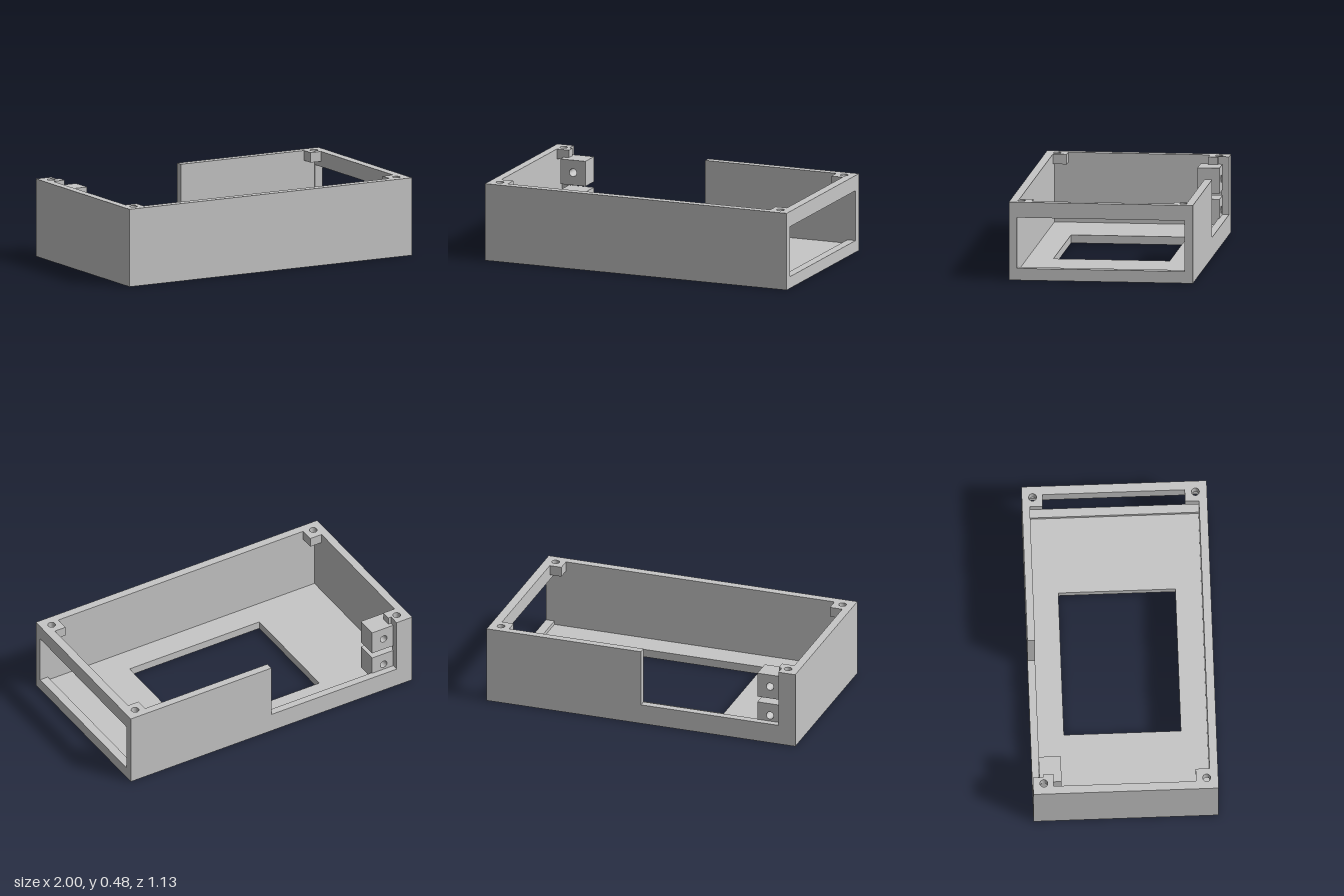
import * as THREE from 'three';

export function createModel() {
  const group = new THREE.Group();
  group.name = 'electronicsEnclosure';
  const grey = new THREE.MeshStandardMaterial({ color: 0xc6c6c6 });
  grey.name = 'light grey plastic';

  const add = (name, geometry) => {
    const mesh = new THREE.Mesh(geometry, grey);
    mesh.name = name;
    group.add(mesh);
    return mesh;
  };

  // Box given by its minimum and maximum corners
  const box = (name, x0, x1, y0, y1, z0, z1) => {
    const g = new THREE.BoxGeometry(x1 - x0, y1 - y0, z1 - z0);
    g.translate((x0 + x1) / 2, (y0 + y1) / 2, (z0 + z1) / 2);
    return add(name, g);
  };

  const rect = (x0, x1, y0, y1) => [[x0, y0], [x1, y0], [x1, y1], [x0, y1]];
  const toVectors = (pts) => pts.map(([x, y]) => new THREE.Vector2(x, y));
  const circle = (x, y, r) => new THREE.Path().absarc(x, y, r, 0, Math.PI * 2, true);
  const extrude = (shape, depth) =>
    new THREE.ExtrudeGeometry(shape, { depth, bevelEnabled: false, curveSegments: 16 });

  // Horizontal plate: outline in (x, -z), raised from y0 to y1
  const slab = (name, pts, holes, y0, y1) => {
    const shape = new THREE.Shape(toVectors(pts));
    shape.holes.push(...holes);
    const g = extrude(shape, y1 - y0);
    g.rotateX(-Math.PI / 2);
    g.translate(0, y0, 0);
    return add(name, g);
  };

  const H = 0.482, D = 0.566, back = 0.519, front = 0.515;
  const floorTop = 0.05, rimBottom = 0.42;

  // Floor with the display opening
  slab('floor', rect(-1, 1, -D, D),
    [new THREE.Path(toVectors(rect(-0.463, 0.46, -0.355, 0.36)))], 0, floorTop);

  // Walls below the rim
  box('frontWall', -1, 1, floorTop, rimBottom, front, D);
  box('closedEndWall', -1, -0.95, floorTop, rimBottom, -D, front);
  box('backWall', 0, 1, floorTop, rimBottom, -D, -back);
  box('backSill', -0.95, 0, floorTop, 0.125, -D, -back);
  box('backPost', -0.95, -0.89, 0.125, rimBottom, -D, -back);

  // Open end: sill, header and jamb around the window
  box('windowSill', 0.945, 1, floorTop, 0.073, -back, front);
  box('windowHeader', 0.945, 1, 0.387, rimBottom, -back, front);
  box('windowJamb', 0.945, 1, 0.073, 0.387, -back, -0.515);

  // Top rim with corner screw bosses, open at the back cutout
  const rim = [
    [0, D], [0, back], [0.87, back], [0.87, 0.44], [0.945, 0.44],
    [0.945, -0.43], [0.87, -0.43], [0.87, -front],
    [-0.87, -front], [-0.87, -0.43], [-0.95, -0.43],
    [-0.95, 0.44], [-0.87, 0.44], [-0.87, 0.5], [-0.89, 0.5], [-0.89, D],
    [-1, D], [-1, -D], [1, -D], [1, D],
  ];
  const screwHoles = [];
  for (const x of [-0.93, 0.93]) {
    for (const y of [-0.495, 0.5]) screwHoles.push(circle(x, y, 0.024));
  }
  slab('rimWithBosses', rim, screwHoles, rimBottom, H);

  // Two drilled mounting blocks beside the back cutout
  for (const [name, y0, y1] of [['lowerMountBlock', 0.083, 0.242], ['upperMountBlock', 0.278, 0.435]]) {
    const shape = new THREE.Shape(toVectors(rect(-0.905, -0.74, y0, y1)));
    shape.holes.push(circle(-0.822, (y0 + y1) / 2, 0.024));
    const g = extrude(shape, 0.135);
    g.translate(0, 0, -0.525);
    add(name, g);
  }

  return group;
}
